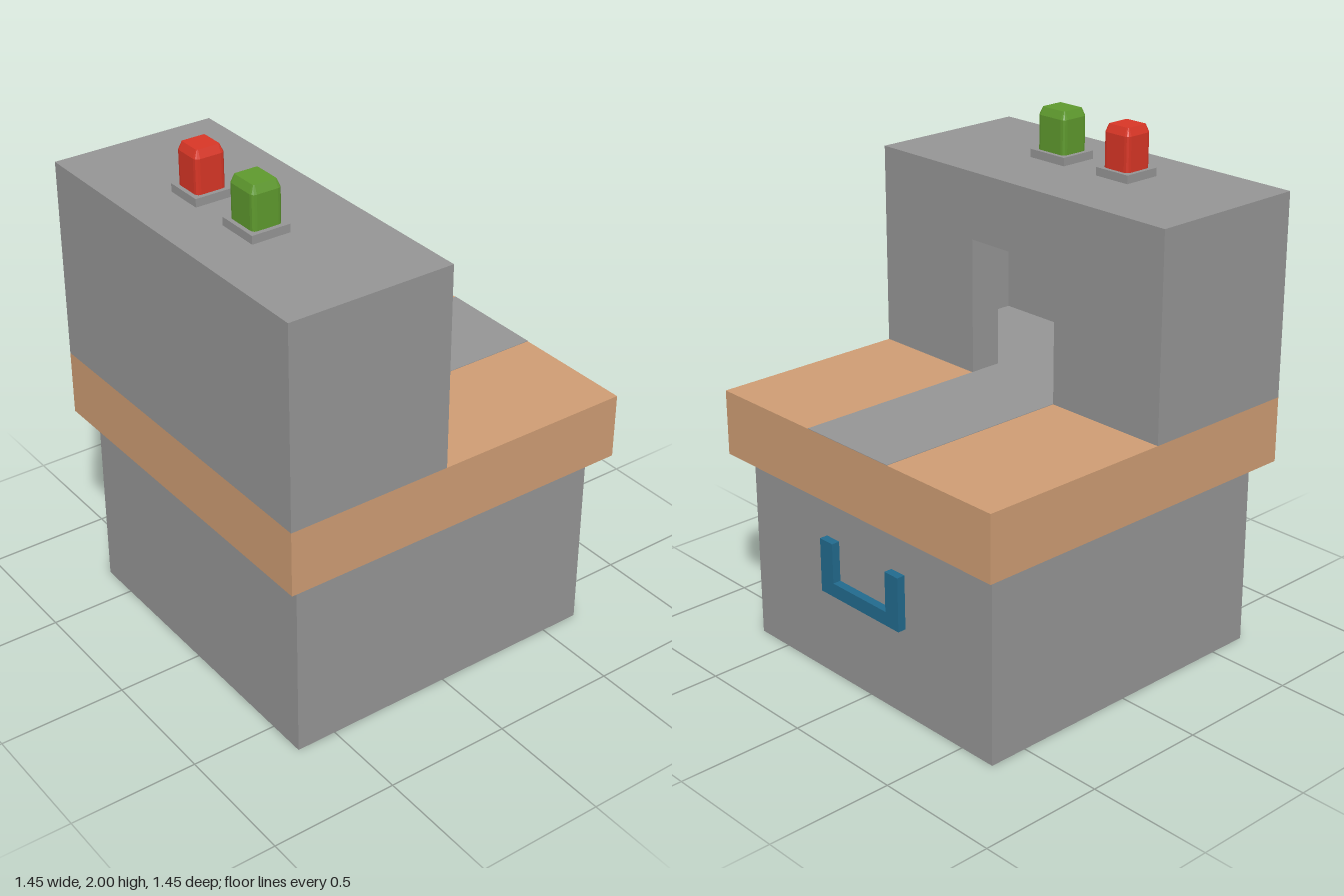
import * as THREE from 'three';

const material = (name, color, extra = {}) => new THREE.MeshStandardMaterial({ name, color, ...extra });

export function createModel() {
  const model = new THREE.Group();
  model.name = 'machine';
  const grey = material('metal grey', 0x969696);
  const tan = material('counter tan', 0xcf9d74);
  const blue = material('handle blue', 0x226b8e);
  const green = material('lamp green', 0x5f9a2e);
  const red = material('lamp red', 0xd93626);

  const add = (name, geometry, mat) => {
    const mesh = new THREE.Mesh(geometry, mat);
    mesh.name = name;
    model.add(mesh);
    return mesh;
  };
  // Box given by its lower and upper limits on each axis
  const box = (name, mat, x0, x1, y0, y1, z0, z1) => {
    const g = new THREE.BoxGeometry(x1 - x0, y1 - y0, z1 - z0);
    g.translate((x0 + x1) / 2, (y0 + y1) / 2, (z0 + z1) / 2);
    return add(name, g, mat);
  };
  // Outline of [z, y] points, extruded along x
  const slabAlongX = (name, mat, points, x0, x1) => {
    const shape = new THREE.Shape(points.map(([z, y]) => new THREE.Vector2(-z, y)));
    const g = new THREE.ExtrudeGeometry(shape, { depth: x1 - x0, bevelEnabled: false });
    g.rotateY(Math.PI / 2).translate(x0, 0, 0);
    return add(name, g, mat);
  };

  const H = 0.725, deck = 1.015, top = 1.805, face = -0.07;
  const z0 = -0.205, z1 = 0.23;

  // Base and counter
  box('base', grey, -0.66, 0.657, 0, 0.757, -0.657, 0.657);
  box('counter', tan, -H, H, 0.757, deck, -H, H);
  box('conveyorStrip', grey, face, H, deck, deck + 0.002, z0, z1);

  // Hollow housing with an open doorway towards the counter
  const inner = -0.2, back = -0.68;
  slabAlongX('housingDoorWall', grey, [
    [-H, deck], [-H, top], [H, top], [H, deck],
    [z1, deck], [z1, 1.545], [z0, 1.545], [z0, deck],
  ], inner, face);
  box('housingBackWall', grey, -H, back, deck, top, -H, H);
  for (const s of [-1, 1]) {
    const a = s * 0.68, b = s * H;
    box('housingSideWall', grey, back, inner, deck, top, Math.min(a, b), Math.max(a, b));
  }
  box('housingRoof', grey, back, inner, 1.76, top, -0.68, 0.68);
  box('housingFloor', grey, back, inner, deck, deck + 0.002, -0.68, 0.68);
  box('doorSill', grey, inner, face, deck, deck + 0.002, z0, z1);

  // U-shaped handle
  slabAlongX('handle', blue, [
    [z1, 0.57], [z1, 0.355], [z0, 0.355], [z0, 0.57],
    [-0.135, 0.57], [-0.135, 0.41], [0.16, 0.41], [0.16, 0.57],
  ], 0.655, 0.69);

  // Signal lamps: rounded blocks with a chamfered top on a square plate
  const lamp = (name, mat, z, depth, plateDepth) => {
    const x = -0.442, w = 0.06, d = depth / 2, r = 0.018;
    box(name + 'Plate', grey, x - 0.077, x + 0.077, top, 1.837, z - plateDepth / 2, z + plateDepth / 2);
    const s = new THREE.Shape();
    s.moveTo(-w + r, -d).lineTo(w - r, -d);
    s.quadraticCurveTo(w, -d, w, -d + r).lineTo(w, d - r);
    s.quadraticCurveTo(w, d, w - r, d).lineTo(-w + r, d);
    s.quadraticCurveTo(-w, d, -w, d - r).lineTo(-w, -d + r);
    s.quadraticCurveTo(-w, -d, -w + r, -d);
    const g = new THREE.ExtrudeGeometry(s, {
      depth: 0.133, bevelThickness: 0.03, bevelSize: 0.013, bevelOffset: -0.013,
      bevelSegments: 1, curveSegments: 3,
    });
    g.rotateX(-Math.PI / 2).translate(x, 1.837, z);
    add(name, g, mat);
  };
  lamp('greenLamp', green, 0.138, 0.14, 0.176);
  lamp('redLamp', red, -0.194, 0.122, 0.156);

  return model;
}
